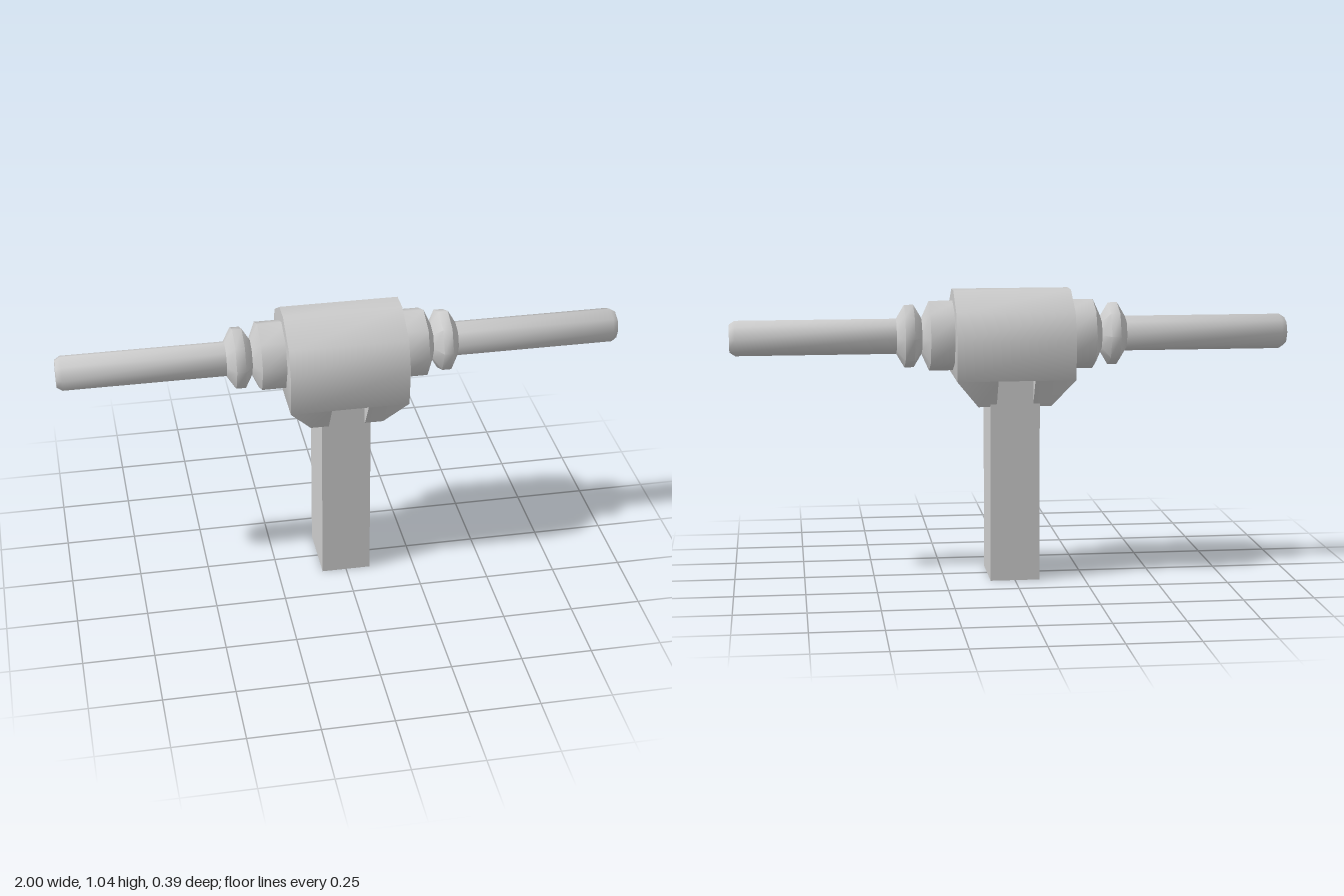
import * as THREE from 'three';
import { mergeGeometries, toCreasedNormals } from 'three/addons/utils/BufferGeometryUtils.js';

const AXIS_Y = 0.872;
const material = new THREE.MeshStandardMaterial({ color: 0xcccccc, side: THREE.DoubleSide });

// Extrudes a [z, y] outline along x between x0 and x1.
function extrudeAlongX(outline, x0, x1) {
  const shape = new THREE.Shape(outline.map(([z, y]) => new THREE.Vector2(-z, y)));
  const geometry = new THREE.ExtrudeGeometry(shape, { depth: x1 - x0, bevelEnabled: false });
  return geometry.rotateY(Math.PI / 2).translate(x0, 0, 0);
}

// Lower cheek of the head: its outer face slopes inward towards the bottom.
function cheek(side) {
  const outline = [[-0.185, 0.73], [0.185, 0.73], [0.12, 0.63], [-0.12, 0.63]];
  const [x0, x1] = side > 0 ? [0.065, 0.21] : [-0.21, -0.065];
  const geometry = extrudeAlongX(outline, x0, x1);
  const p = geometry.attributes.position;
  for (let i = 0; i < p.count; i++) {
    if (p.getY(i) < 0.7 && Math.abs(p.getX(i)) > 0.1) p.setX(i, side * 0.13);
  }
  return geometry;
}

export function createModel() {
  const model = new THREE.Group();
  const add = (name, geometry) => {
    const mesh = new THREE.Mesh(geometry, material);
    mesh.name = name;
    model.add(mesh);
    return mesh;
  };

  // Rectangular hollow post, open at the bottom
  const outline = new THREE.Shape();
  outline.moveTo(-0.088, -0.107).lineTo(0.088, -0.107).lineTo(0.088, 0.127).lineTo(-0.088, 0.127).closePath();
  const post = new THREE.ExtrudeGeometry(outline, { depth: 0.76, bevelEnabled: false });
  const walls = post.groups[1];
  const openPost = new THREE.BufferGeometry();
  for (const key of ['position', 'normal']) {
    const a = post.attributes[key];
    openPost.setAttribute(key, new THREE.BufferAttribute(
      a.array.slice(walls.start * 3, (walls.start + walls.count) * 3), 3));
  }
  add('post', openPost.rotateX(-Math.PI / 2));

  // Rounded head with two tapered cheeks straddling the post
  const crown = [
    [0.04, 1.036], [0.16, 0.967], [0.198, 0.872], [0.185, 0.73],
    [-0.185, 0.73], [-0.196, 0.872], [-0.157, 0.967], [-0.04, 1.036],
  ];
  const head = mergeGeometries([extrudeAlongX(crown, -0.21, 0.21), cheek(1), cheek(-1)]);
  add('head', toCreasedNormals(head, 0.8));

  // Collar, ring and handle bar, turned as one profile on each side
  const profile = [
    [0.125, 0.18], [0.125, 0.295], [0.065, 0.322], [0.112, 0.35], [0.112, 0.383],
    [0.063, 0.412], [0.063, 0.98], [0.05, 1], [0, 1],
  ].map(([r, x]) => new THREE.Vector2(r, x));
  for (const side of [1, -1]) {
    const bar = new THREE.LatheGeometry(profile, 8).rotateZ(-side * Math.PI / 2);
    add(side > 0 ? 'leftHandle' : 'rightHandle', toCreasedNormals(bar, 1.0)).position.y = AXIS_Y;
  }
  return model;
}
